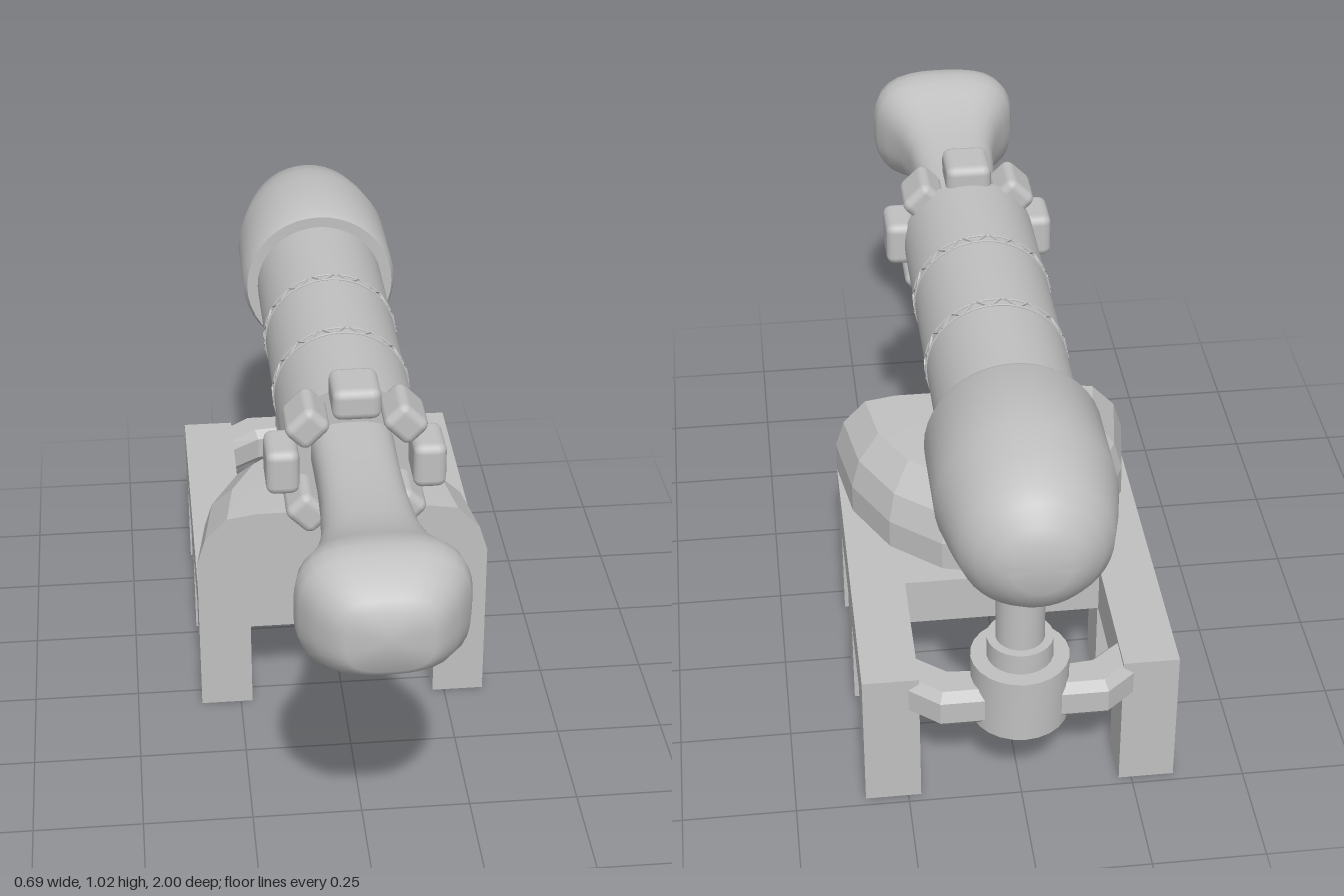
import * as THREE from 'three';
import { toCreasedNormals } from 'three/addons/utils/BufferGeometryUtils.js';
import { RoundedBoxGeometry } from 'three/addons/geometries/RoundedBoxGeometry.js';

const AXIS_Y = 0.828;
const grey = new THREE.MeshStandardMaterial({ color: 0xc0c0c0 });
grey.name = 'plain grey';

export function createModel() {
  const model = new THREE.Group();
  model.name = 'mountedCannon';

  const add = (name, geometry, x = 0, y = 0, z = 0, parent = model) => {
    const mesh = new THREE.Mesh(geometry, grey);
    mesh.name = name;
    mesh.position.set(x, y, z);
    parent.add(mesh);
    return mesh;
  };
  // Box given by its low and high corners
  const block = (name, x0, x1, y0, y1, z0, z1) =>
    add(name, new THREE.BoxGeometry(x1 - x0, y1 - y0, z1 - z0), (x0 + x1) / 2, (y0 + y1) / 2, (z0 + z1) / 2);
  // Turned solid along z from [z, radius] pairs, z rising
  const turned = (profile) => new THREE.LatheGeometry(
    profile.map(([z, r]) => new THREE.Vector2(r, z)), 40).rotateX(Math.PI / 2);
  const post = (name, r, y0, y1, x, z, sides) =>
    add(name, toCreasedNormals(new THREE.CylinderGeometry(r, r, y1 - y0, sides), 0.5), x, (y0 + y1) / 2, z);

  // Frame: front plate, two rear rails and six legs
  block('framePlate', -0.345, 0.345, 0.22, 0.335, -0.4, 0.055);
  for (const [x0, x1, side] of [[-0.345, -0.222, 'right'], [0.222, 0.345, 'left']]) {
    block(side + 'Rail', x0, x1, 0.22, 0.335, -0.73, -0.4);
    for (const [z0, z1, place] of [[-0.06, 0.055, 'Front'], [-0.39, -0.275, 'Middle'], [-0.73, -0.61, 'Rear']])
      block(side + place + 'Leg', x0, x1, 0, 0.22, z0, z1);
  }

  // Half dome on the plate, with its flat front
  const domeProfile = [[0.345, 0.335], [0.345, 0.405], [0.325, 0.47], [0.272, 0.526], [0.2, 0.537], [0, 0.537]];
  const dome = new THREE.LatheGeometry(
    domeProfile.map(([r, y]) => new THREE.Vector2(r, y)), 8, Math.PI / 2, Math.PI);
  dome.scale(1, 1, 1.29);
  add('dome', toCreasedNormals(dome, 0.2), 0, 0, 0.055);
  const face = new THREE.Shape([
    ...domeProfile.map(([x, y]) => new THREE.Vector2(x, y)),
    ...domeProfile.slice(0, -1).reverse().map(([x, y]) => new THREE.Vector2(-x, y)),
  ]);
  add('domeFront', new THREE.ShapeGeometry(face), 0, 0, 0.055);

  // Posts and rear socket
  post('frontPost', 0.034, 0.52, 0.7, 0.012, -0.057, 8);
  post('rearPost', 0.053, 0.4, 0.7, 0.003, -0.717, 24);
  post('socketCollar', 0.072, 0.37, 0.43, 0.003, -0.717, 24);
  post('socket', 0.107, 0.225, 0.38, 0.003, -0.717, 24);

  // Bent arms holding the socket between the rear legs
  for (const s of [-1, 1]) {
    const outline = [[0.06, -0.71], [0.16, -0.7], [0.235, -0.64], [0.235, -0.715], [0.175, -0.765], [0.06, -0.765]];
    const arm = new THREE.ExtrudeGeometry(
      new THREE.Shape(outline.map(([x, z]) => new THREE.Vector2(s * x, -z))),
      { depth: 0.054, bevelEnabled: true, bevelSize: 0.018, bevelThickness: 0.02, bevelSegments: 1 });
    arm.rotateX(-Math.PI / 2);
    add(s > 0 ? 'leftArm' : 'rightArm', arm, 0, 0.253, 0);
  }

  // Main tube and rounded rear cap
  add('mainTube', toCreasedNormals(turned([[-0.56, 0], [-0.56, 0.154], [0.27, 0.154], [0.27, 0]]), 0.6), 0, AXIS_Y, 0);
  add('rearCap', toCreasedNormals(turned([
    [-1, 0], [-1, 0.06], [-0.985, 0.092], [-0.955, 0.128], [-0.92, 0.155], [-0.85, 0.173], [-0.77, 0.188],
    [-0.56, 0.188], [-0.543, 0.18], [-0.543, 0],
  ]), 0.7), 0, AXIS_Y, 0);

  // Slim neck flaring into a rounded, squarish muzzle
  const muzzle = turned([
    [0.26, 0.092], [0.4, 0.09], [0.52, 0.093], [0.65, 0.104], [0.73, 0.123], [0.79, 0.15], [0.83, 0.171],
    [0.865, 0.178], [0.9, 0.171], [0.95, 0.141], [0.985, 0.11], [1, 0.088], [1, 0],
  ]);
  const p = muzzle.attributes.position;
  for (let i = 0; i < p.count; i++) {
    const x = p.getX(i), y = p.getY(i), r = Math.hypot(x, y);
    if (r < 1e-6) continue;
    const k = 1 / Math.cbrt(Math.abs(x / r) ** 3 + Math.abs(y / r) ** 3);
    p.setXY(i, x * k, y * k * 0.79);
  }
  add('muzzle', toCreasedNormals(muzzle, 0.9), 0, 0.823, 0);

  // Crown of eight rounded blocks, the diagonal ones smaller
  const crown = new THREE.Group();
  crown.name = 'blockCrown';
  crown.position.y = AXIS_Y;
  model.add(crown);
  for (let i = 0; i < 8; i++) {
    const a = i * Math.PI / 4, small = i % 2;
    const r = small ? 0.15 : 0.16;
    add('crownBlock', new RoundedBoxGeometry(small ? 0.085 : 0.106, 0.073, 0.12, 2, 0.02),
      r * Math.sin(a), r * Math.cos(a), 0.31, crown).rotation.z = -a;
  }

  // Two lattice bands around the tube
  for (const z of [0.005, -0.265]) {
    const band = new THREE.Group();
    band.name = 'latticeBand';
    band.position.set(0, AXIS_Y, z);
    model.add(band);
    for (const e of [-0.012, 0.012]) add('bandRim', new THREE.TorusGeometry(0.155, 0.003, 6, 40), 0, 0, e, band);
    for (let i = 0; i < 32; i++) {
      const a = i * Math.PI / 16;
      const spoke = new THREE.BoxGeometry(0.005, 0.006, 0.032).rotateY(i % 2 ? 0.7 : -0.7);
      add('bandBar', spoke, 0.155 * Math.sin(a), 0.155 * Math.cos(a), 0, band).rotation.z = -a;
    }
  }
  return model;
}
